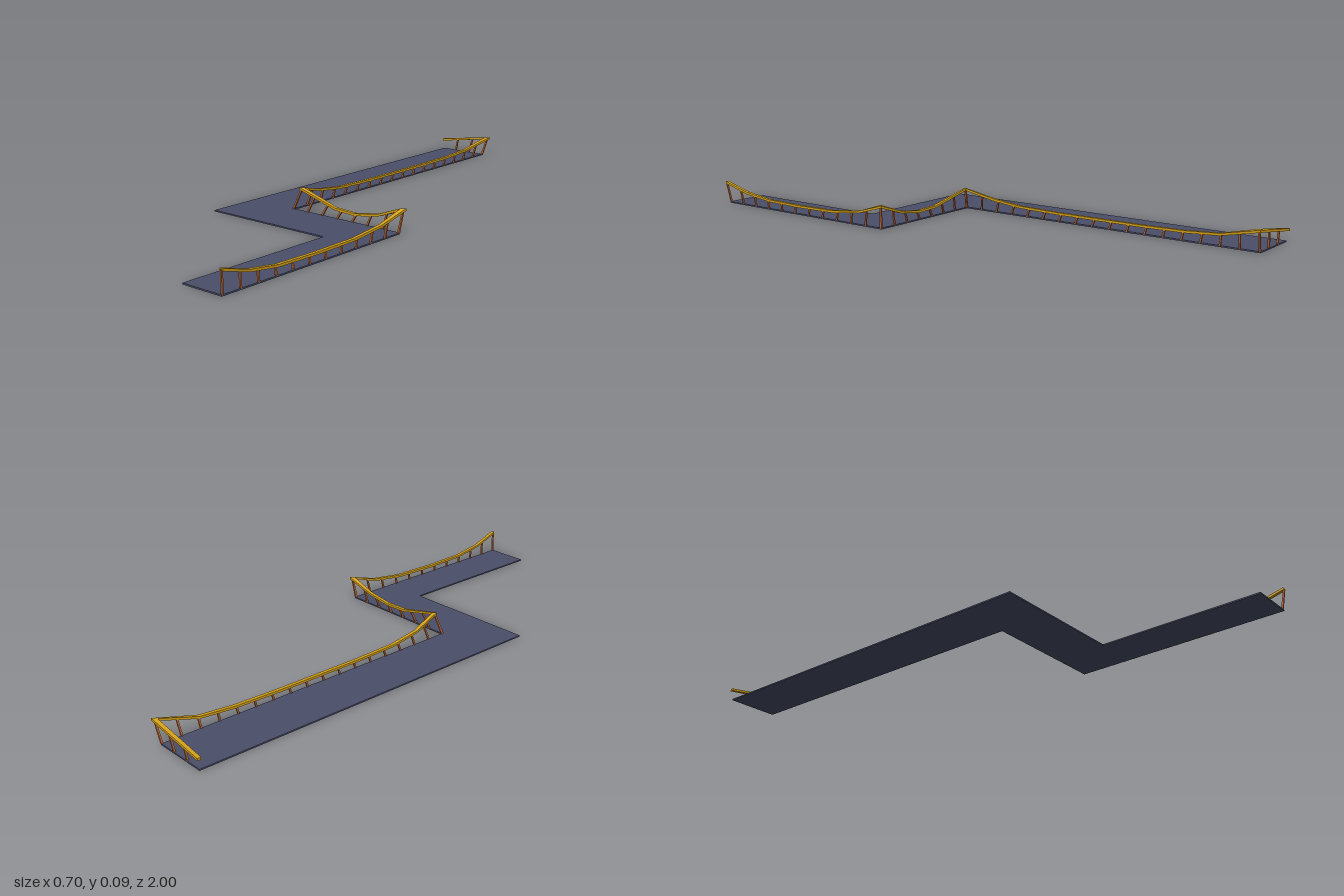
import * as THREE from 'three';

const deckMat = new THREE.MeshStandardMaterial({ color: 0x4a4e69 });
const railMat = new THREE.MeshStandardMaterial({ color: 0xd4a017, flatShading: true });
const postMat = new THREE.MeshStandardMaterial({ color: 0xbf6a38 });
const V = (x, y, z) => new THREE.Vector3(x, y, z);

// Each run: ends of the post feet along the deck edge, spacing count, and rail points
const runs = [
  { name: 'back', from: [-0.348, -0.987], to: [-0.143, -0.987], gaps: 3, skipFirst: true,
    rail: [V(-0.35, 0.042, -0.992), V(-0.12, 0.077, -0.992)] },
  { name: 'long', from: [-0.145, -0.987], to: [-0.145, 0.197], gaps: 17,
    rail: [V(-0.12, 0.077, -0.992), V(-0.141, 0.043, -0.85), V(-0.145, 0.034, -0.72), V(-0.146, 0.031, -0.55),
      V(-0.146, 0.031, -0.22), V(-0.145, 0.035, -0.05), V(-0.139, 0.05, 0.07), V(-0.117, 0.079, 0.183)] },
  { name: 'cross', from: [-0.143, 0.2], to: [0.329, 0.2], gaps: 7,
    rail: [V(-0.117, 0.079, 0.183), V(0.05, 0.037, 0.194), V(0.14, 0.033, 0.196), V(0.235, 0.047, 0.195), V(0.34, 0.083, 0.191)] },
  { name: 'front', from: [0.329, 0.203], to: [0.329, 0.99], gaps: 11,
    rail: [V(0.34, 0.083, 0.191), V(0.332, 0.05, 0.3), V(0.328, 0.034, 0.43), V(0.327, 0.031, 0.6),
      V(0.328, 0.034, 0.77), V(0.332, 0.05, 0.89), V(0.34, 0.082, 1.0)] },
];

// Point on a rail at a fraction of the run, measured along its main axis
function railAt(pts, t) {
  const a = pts[0], b = pts[pts.length - 1];
  const axis = Math.abs(b.x - a.x) > Math.abs(b.z - a.z) ? 'x' : 'z';
  const target = a[axis] + (b[axis] - a[axis]) * t;
  let i = 0;
  while (i < pts.length - 2 && pts[i + 1][axis] < target) i++;
  const f = (target - pts[i][axis]) / (pts[i + 1][axis] - pts[i][axis]);
  return pts[i].clone().lerp(pts[i + 1], f);
}

// Rectangular bar swept along a polyline, mitred in plan
function barAlong(pts, halfW, halfH) {
  const pos = [], idx = [], n = pts.length;
  const sideOf = (a, b) => V(b.z - a.z, 0, a.x - b.x).normalize();
  pts.forEach((p, i) => {
    const s0 = sideOf(pts[Math.max(i - 1, 0)], pts[Math.max(i, 1)]);
    const s1 = sideOf(pts[Math.min(i, n - 2)], pts[Math.min(i + 1, n - 1)]);
    const side = s0.clone().add(s1).normalize();
    side.multiplyScalar(halfW / side.dot(s0));
    for (const [u, v] of [[1, -1], [1, 1], [-1, 1], [-1, -1]])
      pos.push(p.x + side.x * u, p.y + halfH * v, p.z + side.z * u);
  });
  for (let i = 0; i < n - 1; i++)
    for (let k = 0; k < 4; k++) {
      const a = i * 4 + k, b = i * 4 + (k + 1) % 4;
      idx.push(a, b, b + 4, a, b + 4, a + 4);
    }
  const e = (n - 1) * 4;
  idx.push(0, 2, 1, 0, 3, 2, e, e + 1, e + 2, e, e + 2, e + 3);
  const g = new THREE.BufferGeometry();
  g.setAttribute('position', new THREE.Float32BufferAttribute(pos, 3));
  g.setIndex(idx);
  g.computeVertexNormals();
  return g;
}

// Thin square post leaning from its foot to the rail
function post(foot, top) {
  const dir = top.clone().sub(foot);
  const mesh = new THREE.Mesh(new THREE.BoxGeometry(0.006, dir.length(), 0.006), postMat);
  mesh.position.copy(foot).add(top).multiplyScalar(0.5);
  mesh.quaternion.setFromUnitVectors(V(0, 1, 0), dir.normalize());
  mesh.name = 'post';
  return mesh;
}

export function createModel() {
  const model = new THREE.Group();
  model.name = 'zigzagWalkway';

  // Zigzag deck slab, drawn in plan and laid flat
  const outline = [[-0.344, -0.99], [-0.144, -0.99], [-0.144, 0.197], [0.332, 0.197],
    [0.332, 0.995], [0.17, 0.995], [0.17, 0.392], [-0.344, 0.392]];
  const shape = new THREE.Shape(outline.map(([x, z]) => new THREE.Vector2(x, -z)));
  const deckGeo = new THREE.ExtrudeGeometry(shape, { depth: 0.005, bevelEnabled: false });
  deckGeo.rotateX(-Math.PI / 2);
  const deck = new THREE.Mesh(deckGeo, deckMat);
  deck.name = 'deck';
  model.add(deck);

  // Continuous sagging handrail
  const path = runs.flatMap((r, i) => (i ? r.rail.slice(1) : r.rail));
  const rail = new THREE.Mesh(barAlong(path, 0.0065, 0.0042), railMat);
  rail.name = 'handrail';
  model.add(rail);

  // Rows of posts under each run
  for (const r of runs) {
    const row = new THREE.Group();
    row.name = r.name + 'Posts';
    for (let i = r.skipFirst ? 1 : 0; i <= r.gaps; i++) {
      const t = i / r.gaps;
      const foot = V(THREE.MathUtils.lerp(r.from[0], r.to[0], t), 0.003, THREE.MathUtils.lerp(r.from[1], r.to[1], t));
      row.add(post(foot, railAt(r.rail, t)));
    }
    model.add(row);
  }
  return model;
}
